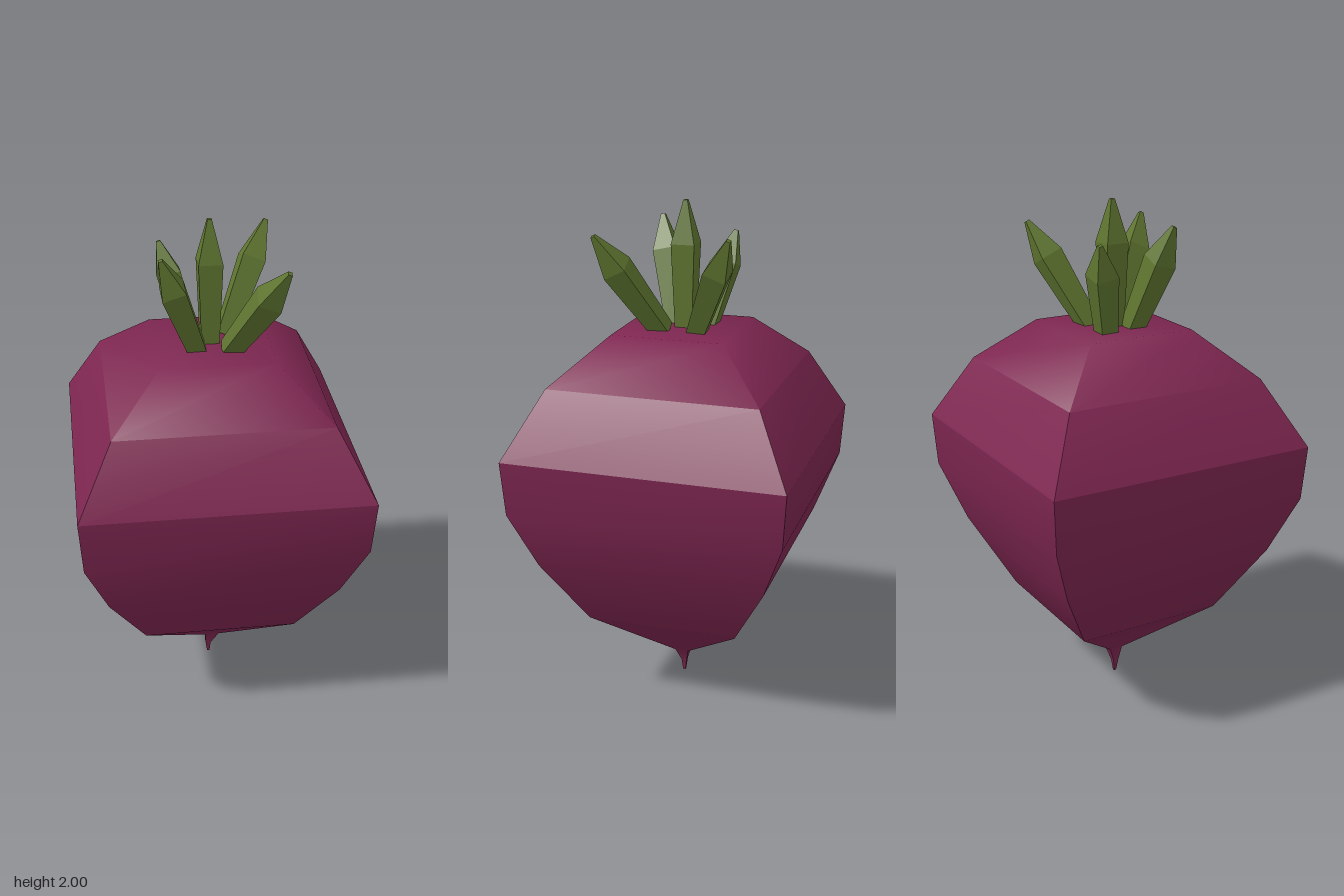
import * as THREE from 'three';
import { toCreasedNormals } from 'three/addons/utils/BufferGeometryUtils.js';

const CORNERS = [[-1, 1], [1, 1], [1, -1], [-1, -1]];

// Square rings [y, halfWidth, xOffset], bottom to top, joined into a surface
function squareLoft(rings, { top = false, bottom = false } = {}) {
  const positions = [];
  const index = [];
  for (const [y, half, offset = 0] of rings) {
    for (const [sx, sz] of CORNERS) positions.push(sx * half + offset, y, sz * half);
  }
  for (let r = 0; r < rings.length - 1; r++) {
    for (let i = 0; i < 4; i++) {
      const a = r * 4 + i;
      const b = r * 4 + (i + 1) % 4;
      index.push(a, b, b + 4, a, b + 4, a + 4);
    }
  }
  if (bottom) index.push(0, 2, 1, 0, 3, 2);
  if (top) {
    const t = (rings.length - 1) * 4;
    index.push(t, t + 1, t + 2, t, t + 2, t + 3);
  }
  const geometry = new THREE.BufferGeometry();
  geometry.setAttribute('position', new THREE.Float32BufferAttribute(positions, 3));
  geometry.setIndex(index);
  geometry.computeVertexNormals();
  return geometry;
}

export function createModel() {
  const model = new THREE.Group();
  model.name = 'rootVegetable';
  const skin = new THREE.MeshStandardMaterial({ color: 0x7d2650 });
  const green = new THREE.MeshStandardMaterial({ color: 0x5f7530, flatShading: true });

  const add = (name, geometry, material, parent = model) => {
    const mesh = new THREE.Mesh(geometry, material);
    mesh.name = name;
    parent.add(mesh);
    return mesh;
  };

  // Lower bulb tapering into a slightly bent root tip
  const bulb = squareLoft([
    [0, 0.005, -0.014], [0.05, 0.011, -0.015], [0.11, 0.028, 0],
    [0.355, 0.303], [0.63, 0.45], [0.865, 0.537], [1.08, 0.55],
  ], { bottom: true });
  add('bulb', toCreasedNormals(bulb, THREE.MathUtils.degToRad(60)), skin);

  // Upper crown: its shoulders blend softly into the flat top
  const crown = squareLoft([[1.08, 0.55], [1.34, 0.412], [1.515, 0.22]], { top: true });
  add('crown', toCreasedNormals(crown, THREE.MathUtils.degToRad(65)), skin);

  // Leaves: square stalks that widen to a shoulder and end in a point
  const leaves = new THREE.Group();
  leaves.name = 'leaves';
  model.add(leaves);
  const up = new THREE.Vector3(0, 1, 0);
  const leafEnds = [
    ['centreLeaf', [-0.006, 1.505, -0.007], [-0.006, 2, -0.007]],
    ['leftFrontLeaf', [0.062, 1.505, 0.063], [0.245, 1.89, 0.272]],
    ['leftBackLeaf', [0.06, 1.505, -0.07], [0.24, 1.9, -0.243]],
    ['rightFrontLeaf', [-0.06, 1.505, 0.05], [-0.2, 1.91, 0.147]],
    ['rightBackLeaf', [-0.08, 1.505, -0.075], [-0.182, 1.865, -0.158]],
  ];
  for (const [name, base, tip] of leafEnds) {
    const start = new THREE.Vector3(...base);
    const axis = new THREE.Vector3(...tip).sub(start);
    const length = axis.length();
    const geometry = squareLoft(
      [[0, 0.034], [length * 0.67, 0.046], [length, 0.008]],
      { top: true, bottom: true },
    );
    const leaf = add(name, geometry, green, leaves);
    leaf.position.copy(start);
    leaf.quaternion.setFromUnitVectors(up, axis.normalize());
  }

  return model;
}
